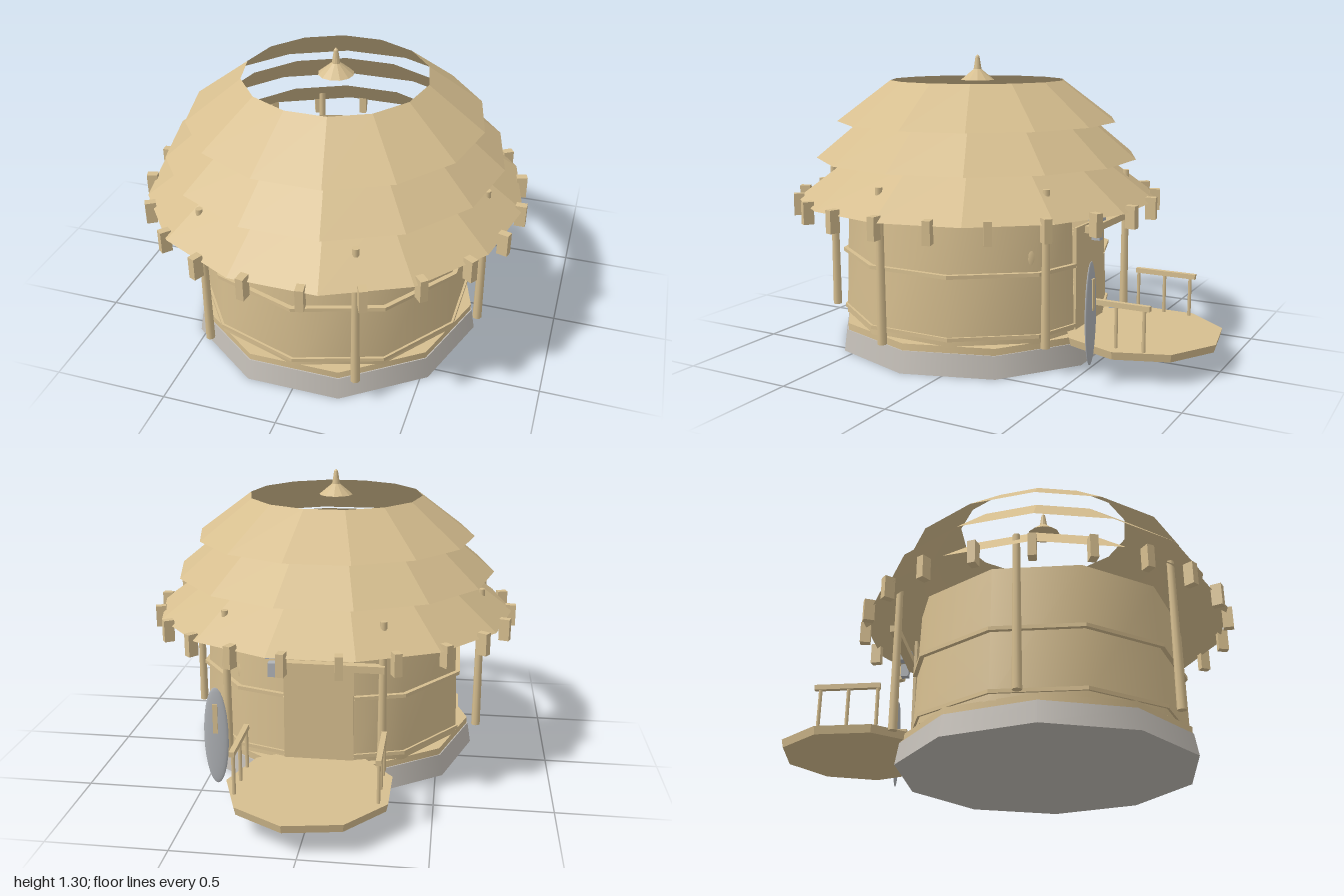
import * as THREE from 'three';

export function createModel() {
  const model = new THREE.Group();
  const mat = (name, color, side = THREE.FrontSide) => {
    const m = new THREE.MeshStandardMaterial({ color, side });
    m.name = name;
    return m;
  };
  const wood = mat('tan wood', 0xd6be8f, THREE.DoubleSide);
  const stone = mat('pale stone', 0xc2bdb6);
  const metal = mat('grey metal', 0xb0b3b7);

  const add = (parent, name, geo, material, x = 0, y = 0, z = 0) => {
    const mesh = new THREE.Mesh(geo, material);
    mesh.name = name;
    mesh.position.set(x, y, z);
    parent.add(mesh);
    return mesh;
  };
  const box = (w, h, d) => new THREE.BoxGeometry(w, h, d);
  // Cylinder with a corner on the +x axis
  const prism = (rTop, rBottom, h, sides, open = false) =>
    new THREE.CylinderGeometry(rTop, rBottom, h, sides, 1, open, Math.PI / 2);
  const flat = (geo) => {
    const g = geo.toNonIndexed();
    g.computeVertexNormals();
    return g;
  };

  // Sweep a (radius, height) profile along an open plan of unit points
  const sweep = (plan, profile) => {
    const pos = [], idx = [], n = profile.length;
    plan.forEach(([x, z], i) => {
      profile.forEach(([r, y], j) => {
        pos.push(x * r, y, z * r);
        if (i && j) {
          const a = (i - 1) * n + j - 1, b = i * n + j - 1;
          idx.push(a, b, b + 1, a, b + 1, a + 1);
        }
      });
    });
    const g = new THREE.BufferGeometry();
    g.setAttribute('position', new THREE.Float32BufferAttribute(pos, 3));
    g.setIndex(idx);
    g.computeVertexNormals();
    return g;
  };

  const hut = new THREE.Group();
  hut.name = 'hut';
  hut.position.z = 0.17;
  model.add(hut);

  // Stone base and wooden floor
  add(hut, 'stoneBase', prism(0.64, 0.656, 0.095, 10), stone, 0, 0.0475, 0);
  add(hut, 'floor', prism(0.635, 0.635, 0.03, 10), wood, 0, 0.11, 0);

  // Ten-sided wall, cut away at the back for the doorway
  const plan = [[-0.246, -0.92]];
  for (let a = -144; a <= 144; a += 36) {
    const t = THREE.MathUtils.degToRad(a);
    plan.push([Math.sin(t), Math.cos(t)]);
  }
  plan.push([0.246, -0.92]);
  add(hut, 'wall', sweep(plan, [[0.613, 0.12], [0.591, 0.7]]), wood);
  for (const y of [0.155, 0.42]) {
    const h = 0.008;
    const ring = [[0.595, y - h], [0.622, y - h], [0.622, y + h], [0.595, y + h]];
    add(hut, 'wallBand', flat(sweep(plan, ring)), wood);
  }
  add(hut, 'doorPanel', box(0.3, 0.46, 0.012), wood, 0, 0.355, -0.565);

  // Small oval shutter on the wall
  const shutter = add(hut, 'shutter', new THREE.SphereGeometry(1, 16, 10), wood, 0.345, 0.48, -0.462);
  shutter.scale.set(0.035, 0.07, 0.02);
  shutter.rotation.y = Math.atan2(0.6, -0.8);

  // Three open roof tiers: bottom radius, bottom y, top radius, top y
  const tiers = [
    [0.82, 0.67, 0.56, 0.863],
    [0.73, 0.85, 0.515, 1.027],
    [0.635, 1.012, 0.395, 1.192],
  ];
  for (const [r0, y0, r1, y1] of tiers) {
    add(hut, 'roofTier', flat(prism(r1, r0, y1 - y0, 14, true)), wood, 0, (y0 + y1) / 2, 0);
  }

  // Finial above the roof opening
  const finial = [[0, 1.19], [0.076, 1.19], [0.018, 1.238], [0.009, 1.295], [0, 1.305]];
  add(hut, 'finial', flat(new THREE.LatheGeometry(finial.map(p => new THREE.Vector2(...p)), 12)), wood);

  // Rafter ends around the eaves
  for (let i = 0; i < 22; i++) {
    const a = Math.PI / 2 + (i / 22) * Math.PI * 2;
    const end = add(hut, 'rafterEnd', box(0.033, 0.097, 0.046), wood,
      Math.sin(a) * 0.813, 0.648, Math.cos(a) * 0.813);
    end.rotation.y = a;
  }

  // Six posts running up through the lowest roof tier
  for (let i = 0; i < 6; i++) {
    const a = THREE.MathUtils.degToRad(23.9 + i * 60);
    add(hut, 'post', new THREE.CylinderGeometry(0.015, 0.02, 0.662, 8), wood,
      Math.sin(a) * 0.68, 0.454, Math.cos(a) * 0.68);
  }

  // Rear entry: nine-sided deck with a railing on each side
  const entry = new THREE.Group();
  entry.name = 'entry';
  model.add(entry);
  add(entry, 'deck', flat(prism(0.35, 0.342, 0.034, 9)), wood, 0, 0.118, -0.65);
  for (const s of [-1, 1]) {
    add(entry, 'handrail', box(0.022, 0.022, 0.28), wood, s * 0.29, 0.318, -0.65);
    for (const z of [-0.52, -0.645, -0.765]) {
      add(entry, 'baluster', new THREE.CylinderGeometry(0.008, 0.008, 0.18, 6), wood, s * 0.29, 0.222, z);
    }
  }

  // Lintel beam with a hanging lantern
  add(entry, 'lintel', box(0.45, 0.03, 0.04), wood, -0.06, 0.585, -0.465);
  add(entry, 'lanternCap', box(0.05, 0.042, 0.058), metal, 0.175, 0.653, -0.505);
  add(entry, 'lanternBody', box(0.035, 0.06, 0.036), metal, 0.175, 0.58, -0.507);

  // Tall leaf-shaped board beside the deck, with a slim strip on it
  const board = add(entry, 'board', new THREE.SphereGeometry(1, 20, 14), metal, 0.403, 0.3, -0.58);
  board.scale.set(0.052, 0.215, 0.011);
  add(entry, 'boardStrip', box(0.02, 0.13, 0.008), wood, 0.403, 0.38, -0.59);

  return model;
}
